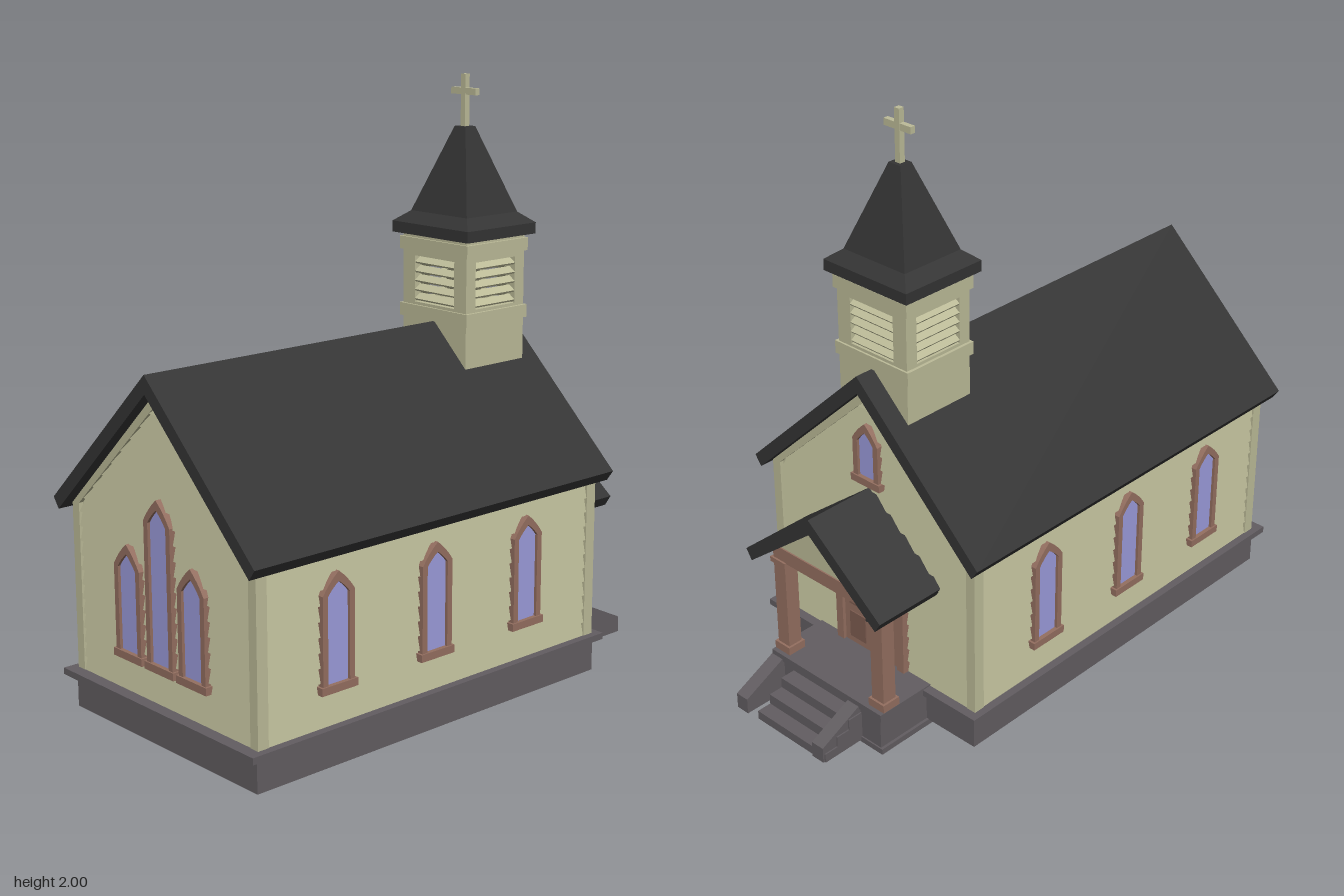
import * as THREE from 'three';

const mat = (color, side = THREE.FrontSide) => {
  const m = new THREE.MeshStandardMaterial({ color, flatShading: true, side });
  return m;
};
const CREAM = mat(0xbcbb98), ROOF = mat(0x343434), BROWN = mat(0x946f60), DOOR = mat(0x7d5c50);
const GLASS = mat(0x9c9cdc), STONE = mat(0x625d61), METAL = mat(0x333333);

function add(parent, name, geometry, material, x = 0, y = 0, z = 0) {
  const m = new THREE.Mesh(geometry, material);
  m.name = name;
  m.position.set(x, y, z);
  parent.add(m);
  return m;
}
// box given by its extents
function box(parent, name, material, x0, x1, y0, y1, z0, z1) {
  return add(parent, name, new THREE.BoxGeometry(x1 - x0, y1 - y0, z1 - z0), material,
    (x0 + x1) / 2, (y0 + y1) / 2, (z0 + z1) / 2);
}
const poly = pts => new THREE.Shape(pts.map(p => new THREE.Vector2(p[0], p[1])));
const extrude = (shape, depth) =>
  new THREE.ExtrudeGeometry(shape, { depth, bevelEnabled: false, curveSegments: 4 });
function group(parent, name) {
  const g = new THREE.Group();
  g.name = name;
  parent.add(g);
  return g;
}

// inverted V, used for roofs and gable trim
const chevron = (apex, hw, eave, innerHw, innerEave, innerApex) => poly([
  [0, apex], [-hw, eave], [-innerHw, innerEave], [0, innerApex], [innerHw, innerEave], [hw, eave]]);

// lap board: bottom edge stands out, ends follow the gable
function lapBoard(bottomHalf, topHalf, h) {
  const g = new THREE.BoxGeometry(2, h, 1);
  const p = g.attributes.position;
  for (let i = 0; i < p.count; i++) {
    const top = p.getY(i) > 0;
    p.setX(i, p.getX(i) * (top ? topHalf : bottomHalf));
    p.setZ(i, p.getZ(i) < 0 ? -0.01 : top ? 0.002 : 0.013);
  }
  g.computeVertexNormals();
  return g;
}

// pointed outline of half width w, from y0 to shoulder ys and tip yt
function lancet(w, y0, ys, yt) {
  const s = new THREE.Shape();
  s.moveTo(-w, y0);
  s.lineTo(w, y0);
  s.lineTo(w, ys);
  s.quadraticCurveTo(w * 0.62, ys + (yt - ys) * 0.55, 0, yt);
  s.quadraticCurveTo(-w * 0.62, ys + (yt - ys) * 0.55, -w, ys);
  return s;
}
// window facing +z, with its wall plane at z = 0
function lancetWindow(parent, name, w, height, tip) {
  const g = group(parent, name);
  const frame = lancet(w, 0.02, height - tip, height);
  frame.holes.push(lancet(w - 0.02, 0.025, height - tip - 0.005, height - 0.032));
  add(g, 'windowFrame', extrude(frame, 0.035), BROWN, 0, 0, -0.01);
  add(g, 'windowGlass', extrude(lancet(w - 0.015, 0.022, height - tip, height - 0.025), 0.018), GLASS, 0, 0, -0.003);
  box(g, 'windowSill', BROWN, -w - 0.008, w + 0.008, 0, 0.025, -0.01, 0.03);
  return g;
}

// gable end, built facing +z with its core plane at z = 0
function gableEnd(parent, name) {
  const g = group(parent, name);
  const half = y => Math.max(0.001, Math.min(0.42, (1.1 - y) / 0.93));
  const h = 0.0482;
  for (let y = 0.15; y < 1.09; y += h) {
    const hh = Math.min(h, 1.1 - y);
    add(g, 'lapBoard', lapBoard(half(y), half(y + hh), hh), CREAM, 0, y + hh / 2, 0);
  }
  add(g, 'rakeTrim', extrude(chevron(1.15, 0.455, 0.72, 0.42, 0.708, 1.1), 0.025), CREAM, 0, 0, -0.01);
  return g;
}

function buildHall(root) {
  const hall = group(root, 'hall');
  box(hall, 'foundation', STONE, -0.455, 0.455, 0.02, 0.135, -0.56, 0.895);
  box(hall, 'foundationLedge', STONE, -0.48, 0.48, 0.13, 0.152, -0.585, 0.93);
  const core = poly([[-0.44, 0.14], [0.44, 0.14], [0.44, 0.735], [0, 1.155], [-0.44, 0.735]]);
  add(hall, 'wallCore', extrude(core, 1.415), CREAM, 0, 0, -0.54);
  add(hall, 'mainRoof', extrude(chevron(1.197, 0.5, 0.72, 0.475, 0.685, 1.137), 1.52), ROOF, 0, 0, -0.59);

  gableEnd(hall, 'frontGable').position.z = 0.875;
  const back = gableEnd(hall, 'backGable');
  back.position.z = -0.54;
  back.rotation.y = Math.PI;

  for (const s of [1, -1]) {
    const side = group(hall, s > 0 ? 'leftWall' : 'rightWall');
    side.position.set(s * 0.44, 0, 0.1675);
    side.rotation.y = s * Math.PI / 2;
    for (let i = 0; i < 11; i++)
      add(side, 'lapBoard', lapBoard(0.683, 0.683, 0.0482), CREAM, 0, 0.174 + i * 0.0482, 0);
    for (const z of [0.585, 0.18, -0.225])
      lancetWindow(side, 'sideWindow', 0.063, 0.375, 0.068).position.set(-s * (z - 0.1675), 0.26, 0);
    // corner boards
    for (const [z0, z1] of [[0.85, 0.89], [-0.555, -0.515]])
      box(hall, 'cornerBoard', CREAM, s > 0 ? 0.42 : -0.455, s > 0 ? 0.455 : -0.42, 0.15, 0.715, z0, z1);
  }
  // front windows, the middle one taller
  for (const i of [-1, 0, 1])
    lancetWindow(hall, 'frontWindow', 0.065, i ? 0.375 : 0.55, 0.075).position.set(i * 0.16, 0.26, 0.875);
  const rear = lancetWindow(hall, 'gableWindow', 0.055, 0.22, 0.065);
  rear.position.set(0, 0.8, -0.54);
  rear.rotation.y = Math.PI;
}

function buildPorch(root) {
  const porch = group(root, 'porch');
  box(porch, 'porchBase', STONE, -0.245, 0.245, 0.002, 0.135, -0.765, -0.525);
  box(porch, 'porchPlinth', STONE, -0.255, 0.255, 0.002, 0.022, -0.77, -0.525);
  box(porch, 'porchFloor', STONE, -0.255, 0.255, 0.132, 0.157, -0.772, -0.55);
  // steps and sloped cheek walls
  for (let i = 0; i < 3; i++)
    box(porch, 'step', STONE, -0.16, 0.16, 0.01, 0.115 - i * 0.037, -0.82 - i * 0.052, -0.76);
  const cheek = poly([[0.765, 0.01], [0.93, 0.01], [0.93, 0.065], [0.775, 0.14], [0.765, 0.14]]);
  for (const x of [-0.155, 0.205])
    add(porch, 'stepCheek', extrude(cheek, 0.05), STONE, x, 0, 0).rotation.y = Math.PI / 2;
  // posts
  for (const s of [1, -1]) {
    const x = s * 0.22, z = -0.723;
    box(porch, 'post', BROWN, x - 0.026, x + 0.026, 0.155, 0.52, z - 0.026, z + 0.026);
    box(porch, 'postBase', BROWN, x - 0.034, x + 0.034, 0.155, 0.185, z - 0.034, z + 0.034);
    box(porch, 'postCap', BROWN, x - 0.034, x + 0.034, 0.497, 0.515, z - 0.034, z + 0.034);
    box(porch, 'sideBeam', BROWN, x - 0.026, x + 0.026, 0.512, 0.562, -0.75, -0.54);
  }
  box(porch, 'frontBeam', BROWN, -0.245, 0.245, 0.512, 0.562, -0.75, -0.697);
  box(porch, 'ceiling', DOOR, -0.22, 0.22, 0.545, 0.56, -0.74, -0.54);
  add(porch, 'porchGable', extrude(poly([[-0.24, 0.555], [0.24, 0.555], [0, 0.745]]), 0.02), CREAM, 0, 0, -0.745);
  add(porch, 'porchRoof', extrude(chevron(0.787, 0.305, 0.548, 0.282, 0.512, 0.733), 0.27), ROOF, 0, 0, -0.81);

  // double door
  const door = group(porch, 'doubleDoor');
  box(door, 'doorHeader', BROWN, -0.155, 0.155, 0.46, 0.49, -0.572, -0.54);
  for (const s of [1, -1]) {
    const b = (name, m, a, c, y0, y1, z0) =>
      box(door, name, m, Math.min(s * a, s * c), Math.max(s * a, s * c), y0, y1, z0, -0.54);
    b('doorJamb', BROWN, 0.125, 0.155, 0.155, 0.46, -0.572);
    b('doorLeaf', BROWN, 0.002, 0.125, 0.155, 0.46, -0.56);
    b('doorPanel', DOOR, 0.028, 0.1, 0.18, 0.28, -0.564);
    b('doorPanel', DOOR, 0.028, 0.1, 0.31, 0.435, -0.564);
    b('doorHandle', METAL, 0.01, 0.018, 0.28, 0.31, -0.572);
  }
}

function buildTower(root) {
  const tower = group(root, 'tower');
  tower.position.z = -0.385;
  const slab = (name, m, hx, hz, y0, y1) => box(tower, name, m, -hx, hx, y0, y1, -hz, hz);
  slab('towerBase', CREAM, 0.148, 0.135, 1.0, 1.235);
  slab('lowerBand', CREAM, 0.158, 0.142, 1.197, 1.24);
  slab('belfryTop', CREAM, 0.148, 0.135, 1.415, 1.485);
  slab('upperBand', CREAM, 0.158, 0.142, 1.422, 1.465);

  // four belfry walls with louvred openings
  for (let i = 0; i < 4; i++) {
    const face = group(tower, 'belfryWall');
    face.rotation.y = i * Math.PI / 2;
    const w = i % 2 ? 0.135 : 0.148, out = i % 2 ? 0.148 : 0.135;
    const wall = poly([[-w, 1.23], [w, 1.23], [w, 1.42], [-w, 1.42]]);
    wall.holes.push(poly([[-0.092, 1.25], [0.092, 1.25], [0.092, 1.405], [-0.092, 1.405]]));
    add(face, 'louvreSurround', extrude(wall, 0.025), CREAM, 0, 0, out - 0.025);
    for (let k = 0; k < 5; k++)
      add(face, 'louvre', new THREE.BoxGeometry(0.184, 0.007, 0.03), CREAM, 0, 1.266 + k * 0.031, out - 0.014)
        .rotation.x = 0.6;
  }

  // flared four-sided spire
  const tier = (name, r0, r1, y0, y1) => {
    const g = new THREE.CylinderGeometry(r1 * Math.SQRT2, r0 * Math.SQRT2, y1 - y0, 4);
    g.rotateY(Math.PI / 4).scale(1, 1, 0.905);
    add(tower, name, g, ROOF, 0, (y0 + y1) / 2, 0);
  };
  tier('spireEave', 0.176, 0.176, 1.478, 1.515);
  tier('spireFlare', 0.176, 0.13, 1.515, 1.55);
  tier('spire', 0.13, 0.025, 1.55, 1.83);

  slab('crossUpright', CREAM, 0.01, 0.01, 1.82, 2.0);
  slab('crossArm', CREAM, 0.056, 0.009, 1.933, 1.955);
}

export function createModel() {
  const root = new THREE.Group();
  root.name = 'chapel';
  buildHall(root);
  buildPorch(root);
  buildTower(root);
  return root;
}
